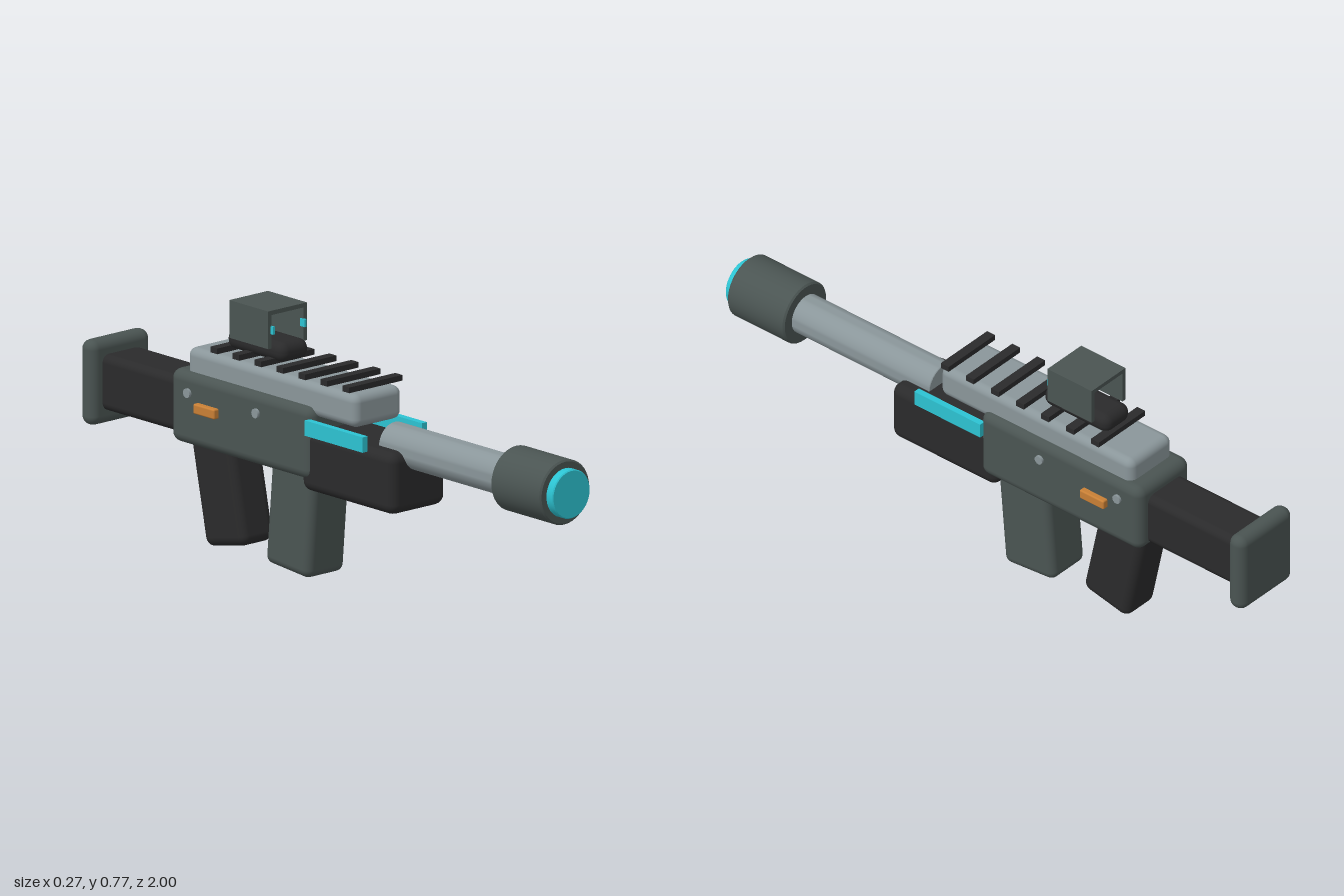
import * as THREE from 'three';
import { toCreasedNormals } from 'three/addons/utils/BufferGeometryUtils.js';
import { RoundedBoxGeometry } from 'three/addons/geometries/RoundedBoxGeometry.js';

const material = (name, color) => {
  const m = new THREE.MeshStandardMaterial({ color });
  m.name = name;
  return m;
};

export function createModel() {
  const gun = new THREE.Group();
  gun.name = 'blaster';

  const gunmetal = material('gunmetal', 0x4a5452);
  const steel = material('steel', 0x8a969a);
  const black = material('black', 0x2a2a2b);
  const cyan = material('cyan', 0x2cc3d2);
  const orange = material('orange', 0xc87f35);

  const add = (name, geometry, mat, x, y, z) => {
    const mesh = new THREE.Mesh(geometry, mat);
    mesh.name = name;
    mesh.position.set(x, y, z);
    gun.add(mesh);
    return mesh;
  };
  // box with rounded edges, centred on (x, y, z)
  const rounded = (name, mat, [w, h, d], r, x, y, z) =>
    add(name, new RoundedBoxGeometry(w, h, d, 3, r), mat, x, y, z);
  const box = (name, mat, [w, h, d], x, y, z) =>
    add(name, new THREE.BoxGeometry(w, h, d), mat, x, y, z);
  // cylinder along z from z0 to z1 with a small chamfer c
  const barY = 0.463;
  const tube = (name, mat, r, z0, z1, c) => {
    const profile = [[0, z0], [r - c, z0], [r, z0 + c], [r, z1 - c], [r - c, z1], [0, z1]]
      .map(([px, py]) => new THREE.Vector2(px, py));
    const g = new THREE.LatheGeometry(profile, 40).rotateX(Math.PI / 2);
    return add(name, toCreasedNormals(g, 0.6), mat, 0, barY, 0);
  };

  // body
  rounded('receiver', gunmetal, [0.23, 0.22, 0.61], 0.03, 0, 0.425, -0.305);
  rounded('upperReceiver', steel, [0.186, 0.1, 0.73], 0.025, 0, 0.553, -0.195);
  rounded('handguard', black, [0.215, 0.185, 0.4], 0.03, 0, 0.372, 0.145);

  // barrel
  tube('barrel', steel, 0.061, 0.235, 0.78, 0.002);
  tube('muzzle', gunmetal, 0.097, 0.757, 0.973, 0.005);
  tube('muzzleGlow', cyan, 0.073, 0.96, 1.0, 0.003);

  // stock
  rounded('stock', black, [0.154, 0.168, 0.4], 0.025, 0, 0.413, -0.76);
  rounded('buttPlate', gunmetal, [0.232, 0.255, 0.06], 0.028, 0, 0.413, -0.97);

  // magazine and grip, tilted in opposite directions
  rounded('magazine', gunmetal, [0.15, 0.36, 0.19], 0.025, 0, 0.189, -0.137).rotation.x = 0.087;
  rounded('grip', black, [0.13, 0.34, 0.176], 0.028, 0, 0.19, -0.465).rotation.x = -0.21;

  // cross bars above the upper receiver
  for (let i = 0; i < 7; i++) {
    box('railBar', black, [0.206, 0.017, 0.03], 0, 0.62, 0.14 - i * 0.095);
  }

  // sight: base and open hood
  rounded('sightBase', black, [0.112, 0.06, 0.248], 0.028, 0, 0.647, -0.311);
  box('sightHoodTop', gunmetal, [0.15, 0.013, 0.168], 0, 0.7665, -0.31);

  // mirrored side details
  for (const s of [-1, 1]) {
    box('sightHoodWall', gunmetal, [0.013, 0.101, 0.168], s * 0.0685, 0.7105, -0.31);
    box('sightMarker', cyan, [0.008, 0.023, 0.02], s * 0.0615, 0.715, -0.226);
    box('sideLight', cyan, [0.02, 0.046, 0.25], s * 0.115, 0.477, 0.112);
    rounded('selector', orange, [0.034, 0.03, 0.092], 0.005, s * 0.116, 0.439, -0.442);
    for (const z of [-0.232, -0.527]) {
      const bolt = new THREE.CylinderGeometry(0.014, 0.014, 0.02, 16).rotateZ(Math.PI / 2);
      add('bolt', bolt, steel, s * 0.113, 0.475, z);
    }
  }

  return gun;
}
